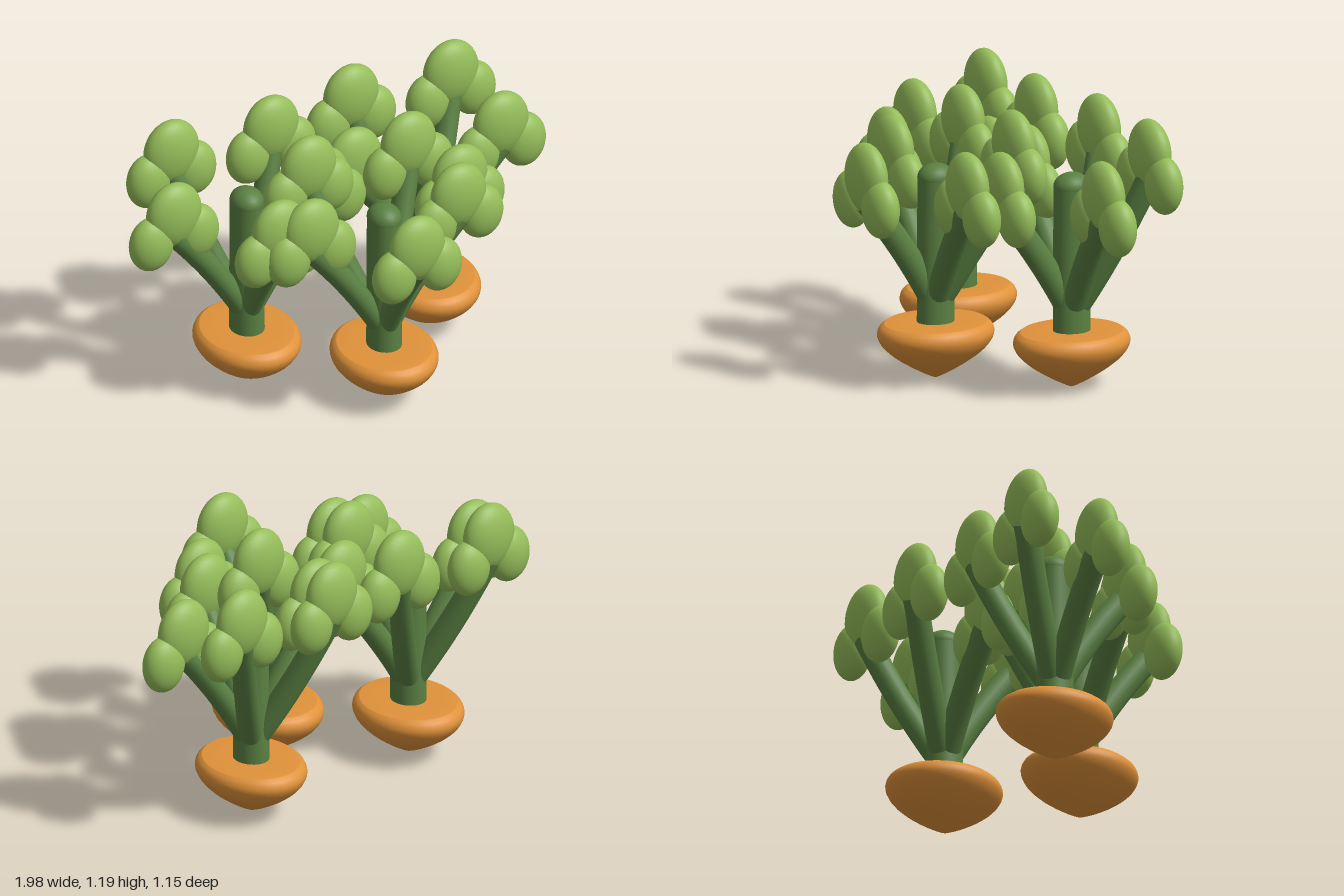
import * as THREE from 'three';

const mat = (name, color) => {
  const m = new THREE.MeshStandardMaterial({ color });
  m.name = name;
  return m;
};

export function createModel() {
  const orange = mat('root orange', 0xe0923a);
  const stemGreen = mat('stem green', 0x5a8042);
  const leafGreen = mat('leaf green', 0x95bd5a);

  const add = (parent, name, geometry, material, x = 0, y = 0, z = 0) => {
    const mesh = new THREE.Mesh(geometry, material);
    mesh.name = name;
    mesh.position.set(x, y, z);
    parent.add(mesh);
    return mesh;
  };

  // Plants are slightly narrower in x than in z
  const SX = 0.85;

  // Root: pointed below, rounded shoulder, flat top
  const profile = new THREE.SplineCurve([
    [0, 0.004], [0.03, 0.016], [0.1, 0.052], [0.18, 0.102], [0.235, 0.15],
    [0.259, 0.195], [0.25, 0.23], [0.225, 0.25],
  ].map(([x, y]) => new THREE.Vector2(x, y))).getPoints(24);
  profile[0].x = 0;
  profile.push(new THREE.Vector2(0.15, 0.252), new THREE.Vector2(0, 0.252));
  const rootGeo = new THREE.LatheGeometry(profile, 40).scale(SX, 1, 1);

  // Central stem with a domed end
  const stemGeo = new THREE.CylinderGeometry(0.08, 0.083, 0.64, 32).scale(SX + 0.03, 1, 1);
  const domeGeo = new THREE.SphereGeometry(0.081, 32, 16).scale(SX + 0.03, 0.75, 1);

  // Leaflets: one large, two small
  const bigLeaf = new THREE.SphereGeometry(1, 32, 20).scale(0.13, 0.152, 0.072);
  const smallLeaf = new THREE.SphereGeometry(1, 32, 20).scale(0.102, 0.126, 0.072);

  // Branches: leaf offset x, z and height of the large leaflet
  const branches = [
    { name: 'front', x: -0.03, z: 0.33, y: 0.917 },
    { name: 'right', x: -0.35, z: -0.01, y: 0.917 },
    { name: 'left', x: 0.33, z: 0.055, y: 0.917 },
    { name: 'backRight', x: -0.21, z: -0.275, y: 1.043 },
    { name: 'backLeft', x: 0.25, z: -0.23, y: 1.043 },
  ].map((b) => {
    const k = b.z < -0.1 ? 0.54 : 0.45;
    const curve = new THREE.QuadraticBezierCurve3(
      new THREE.Vector3(0, 0.32, 0),
      new THREE.Vector3(b.x * k / SX, 0.6, b.z * k),
      new THREE.Vector3(b.x / SX, b.y - 0.1, b.z),
    );
    return { ...b, tube: new THREE.TubeGeometry(curve, 20, 0.056, 20).scale(SX, 1, 1) };
  });

  const makePlant = (name, x, z) => {
    const plant = new THREE.Group();
    plant.name = name;
    plant.position.set(x, 0, z);
    add(plant, 'root', rootGeo, orange);
    add(plant, 'stem', stemGeo, stemGreen, 0, 0.56, 0);
    add(plant, 'stemTip', domeGeo, stemGreen, 0, 0.88, 0);
    for (const b of branches) {
      add(plant, b.name + 'Branch', b.tube, stemGreen);
      add(plant, b.name + 'Leaf', bigLeaf, leafGreen, b.x, b.y, b.z);
      for (const s of [-1, 1]) {
        add(plant, b.name + 'SideLeaf', smallLeaf, leafGreen, b.x + s * 0.11, b.y - 0.113, b.z);
      }
    }
    return plant;
  };

  const model = new THREE.Group();
  model.name = 'rootVegetables';
  model.add(
    makePlant('frontPlant', 0, 0.168),
    makePlant('backRightPlant', -0.438, -0.232),
    makePlant('backLeftPlant', 0.438, -0.232),
  );
  return model;
}
